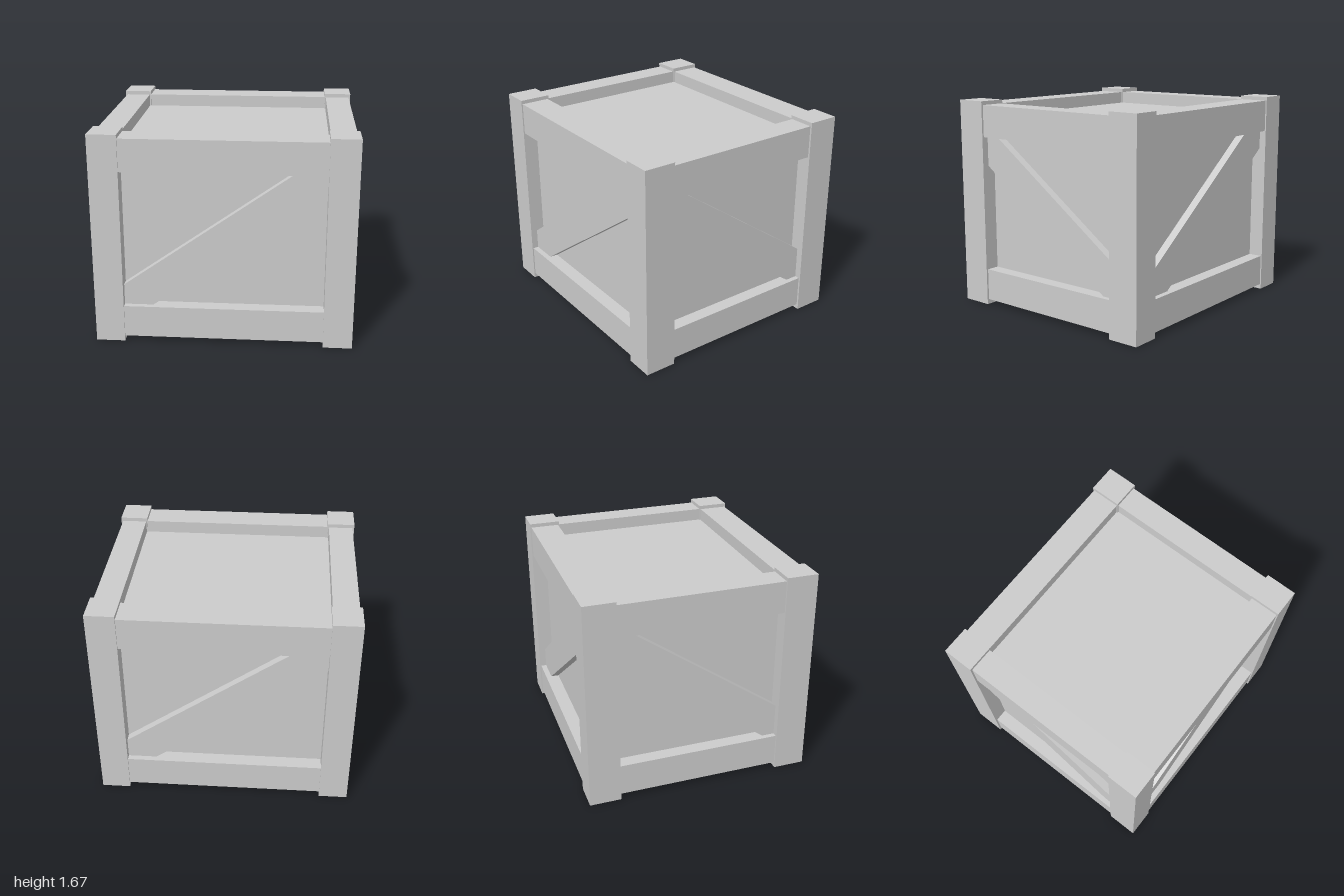
import * as THREE from 'three';

const material = new THREE.MeshStandardMaterial({ color: 0xcccccc, flatShading: true });

// Box given by its minimum and maximum corners
function box(name, min, max) {
  const size = max.map((v, i) => v - min[i]);
  const mesh = new THREE.Mesh(new THREE.BoxGeometry(...size), material);
  mesh.position.set(...max.map((v, i) => (v + min[i]) / 2));
  mesh.name = name;
  return mesh;
}

// Diagonal board: an outline raised from a panel by its thickness
function brace(name, outline, start, thickness) {
  const shape = new THREE.Shape(outline.map(([x, y]) => new THREE.Vector2(x, y)));
  const geometry = new THREE.ExtrudeGeometry(shape, { depth: thickness, bevelEnabled: false });
  geometry.translate(0, 0, start);
  const mesh = new THREE.Mesh(geometry, material);
  mesh.name = name;
  return mesh;
}

export function createModel() {
  const crate = new THREE.Group();
  crate.name = 'crate';

  // Inner box whose faces are the recessed panels
  crate.add(box('panels', [-0.88, 0.14, -0.78], [0.88, 1.54, 0.78]));

  // Corner posts
  for (const sx of [-1, 1]) {
    for (const sz of [-1, 1]) {
      const post = box('cornerPost', [-0.1125, 0, -0.125], [0.1125, 1.67, 0.125]);
      post.position.x = sx * 0.8875;
      post.position.z = sz * 0.775;
      crate.add(post);
    }
  }

  // Top and bottom rails between the posts
  for (const [level, y0, y1] of [['bottom', 0.04, 0.295], ['top', 1.385, 1.64]]) {
    for (const s of [-1, 1]) {
      const long = box(level + 'LongRail', [-0.775, y0, -0.115], [0.775, y1, 0.115]);
      long.position.z = s * 0.775;
      const short = box(level + 'ShortRail', [-0.1, y0, -0.65], [0.1, y1, 0.65]);
      short.position.x = s * 0.885;
      crate.add(long, short);
    }
  }

  // Diagonal boards, the same on opposite sides
  const longOutline = [[-0.775, 0.295], [-0.55, 0.295], [0.775, 1.235],
    [0.775, 1.385], [0.53, 1.385], [-0.775, 0.46]];
  const shortOutline = [[-0.65, 1.385], [-0.65, 1.15], [0.55, 0.295],
    [0.65, 0.295], [0.65, 0.555], [-0.53, 1.385]];
  for (const turn of [0, Math.PI]) {
    const long = brace('longBrace', longOutline, 0.78, 0.065);
    long.rotation.y = turn;
    const short = brace('shortBrace', shortOutline, 0.88, 0.065);
    short.rotation.y = turn + Math.PI / 2;
    crate.add(long, short);
  }

  // Diagonal board under the floor
  const floorOutline = [[-0.775, 0.65], [-0.775, 0.48], [0.58, -0.65],
    [0.775, -0.65], [0.775, -0.48], [-0.58, 0.65]];
  const floorBrace = brace('floorBrace', floorOutline, -0.14, 0.065);
  floorBrace.rotation.x = Math.PI / 2;
  crate.add(floorBrace);

  return crate;
}
